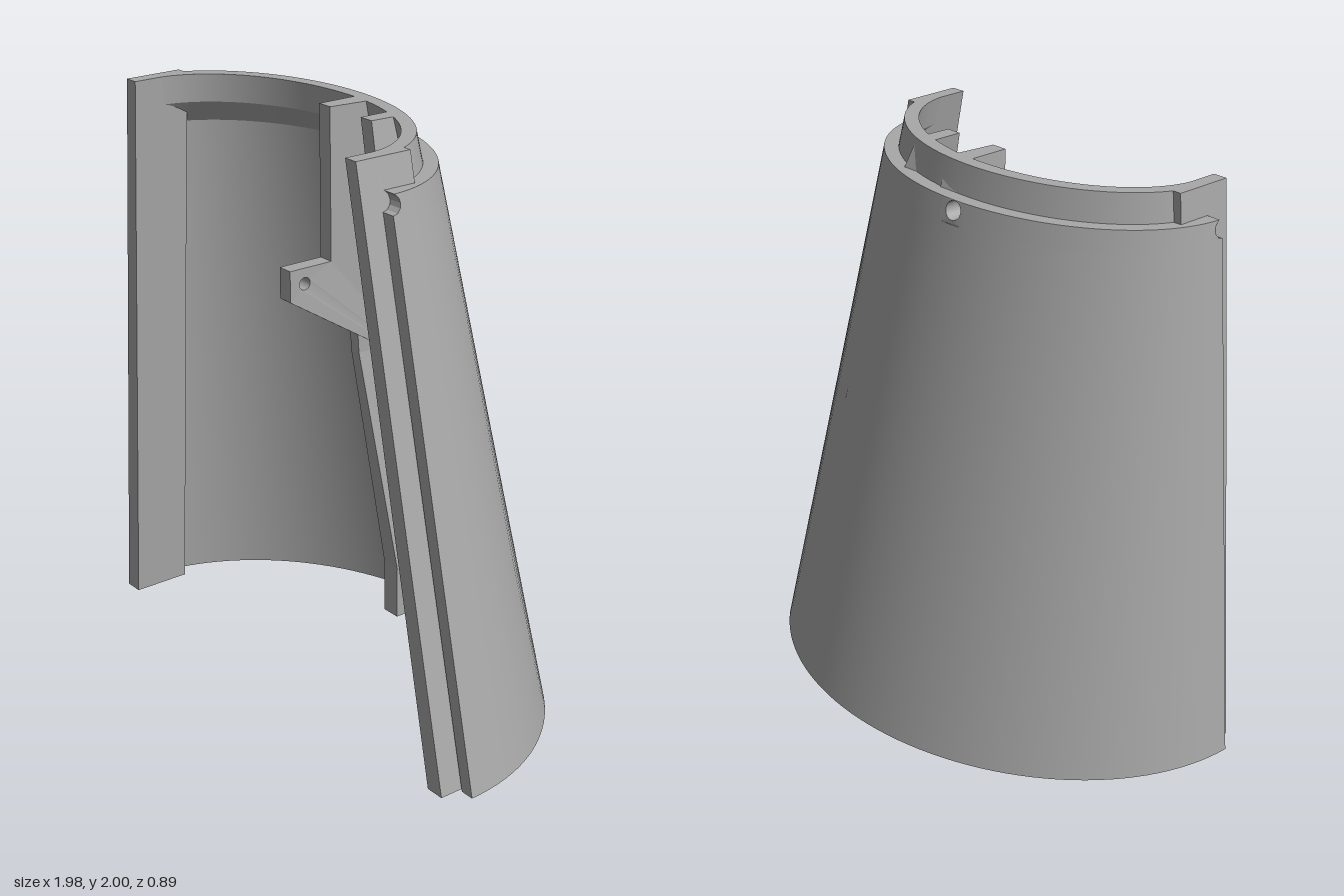
import * as THREE from 'three';

const gray = new THREE.MeshStandardMaterial({ color: 0xa8a8a8 });
gray.name = 'plain gray';

const EDGE_Z = 0.375, COLS = 64, HOLE_FROM = 30, HOLE_TO = 33;

// Leaning half-oval cone: t runs from the -x edge round the back to the +x edge
function surface(t, y, inset) {
  const k = y / 1.9;
  const a = 0.99 - 0.29 * k - inset, b = 0.82 - 0.315 * k - inset;
  return new THREE.Vector3(-0.135 * k - a * Math.cos(t), y, EDGE_Z - b * Math.sin(t));
}

// Small round notch across the front edges of the wall
function wallPoint(t, y, inset) {
  const p = surface(t, y, inset);
  const depth = Math.sqrt(Math.max(0, 0.033 ** 2 - (y - 1.87) ** 2));
  p.z = Math.min(p.z, EDGE_Z - depth);
  return p;
}

function mesh(name, geometry) {
  const m = new THREE.Mesh(geometry, gray);
  m.name = name;
  return m;
}

function fromTriangles(positions) {
  const g = new THREE.BufferGeometry();
  g.setAttribute('position', new THREE.Float32BufferAttribute(positions, 3));
  g.computeVertexNormals();
  return g;
}

// One smooth strip round the half cone between two profile points [inset, y]
function strip(point, from, to, skipHole) {
  const pos = [], index = [];
  for (let i = 0; i <= COLS; i++) {
    const t = (i / COLS) * Math.PI;
    pos.push(...point(t, from[1], from[0]).toArray(), ...point(t, to[1], to[0]).toArray());
    if (i === COLS || (skipHole && i >= HOLE_FROM && i < HOLE_TO)) continue;
    const j = i * 2;
    index.push(j, j + 1, j + 2, j + 1, j + 3, j + 2);
  }
  const g = new THREE.BufferGeometry();
  g.setAttribute('position', new THREE.Float32BufferAttribute(pos, 3));
  g.setIndex(index);
  g.computeVertexNormals();
  return g;
}

function quad(out, a, b, c, d) {
  for (const p of [a, b, c, a, c, d]) out.push(p.x, p.y, p.z);
}

// Solid through four-cornered sections, corners anticlockwise seen from above
function loft(sections) {
  const s = sections.map(r => r.map(c => new THREE.Vector3(...c)));
  const out = [], n = s.length - 1;
  for (let i = 0; i < n; i++) for (let j = 0; j < 4; j++) {
    const k = (j + 1) % 4;
    quad(out, s[i][j], s[i][k], s[i + 1][k], s[i + 1][j]);
  }
  quad(out, s[0][3], s[0][2], s[0][1], s[0][0]);
  quad(out, ...s[n]);
  return fromTriangles(out);
}

function shell() {
  const group = new THREE.Group();
  group.name = 'shell';

  // Outer wall
  const rows = [0, 1.82, 1.837, 1.842, 1.855, 1.87, 1.885, 1.898, 1.9];
  for (let i = 0; i < rows.length - 1; i++) {
    const lo = rows[i], hi = rows[i + 1];
    group.add(mesh('wallOutside', strip(wallPoint, [0, lo], [0, hi], i > 0)));
    group.add(mesh('wallInside', strip(wallPoint, [0.05, hi], [0.05, lo], i > 0)));
  }
  group.add(mesh('wallLedge', strip(wallPoint, [0, 1.9], [0.05, 1.9])));
  group.add(mesh('wallFoot', strip(wallPoint, [0.05, 0], [0, 0])));

  // Front edges of the wall
  const ends = [];
  for (let i = 0; i < rows.length - 1; i++) for (const t of [0, Math.PI]) {
    const lo = rows[i], hi = rows[i + 1];
    const [l, r] = t ? [0.05, 0] : [0, 0.05];
    quad(ends, wallPoint(t, lo, l), wallPoint(t, lo, r), wallPoint(t, hi, r), wallPoint(t, hi, l));
  }
  group.add(mesh('wallEnds', fromTriangles(ends)));

  // Inner collar with a chamfer beneath
  const collar = [[0.05, 1.9], [0.05, 2], [0.1, 2], [0.1, 1.9], [0.05, 1.82]];
  for (let i = 0; i < collar.length - 1; i++)
    group.add(mesh('collar', strip(surface, collar[i], collar[i + 1], i === 3)));

  // Curved patch holding the round hole at the back
  const t0 = (HOLE_FROM / COLS) * Math.PI, t1 = (HOLE_TO / COLS) * Math.PI;
  const shape = new THREE.Shape([[t0, 1.82], [t1, 1.82], [t1, 1.9], [t0, 1.9]].map(p => new THREE.Vector2(...p)));
  const hole = new THREE.Path();
  hole.absellipse(1.54, 1.866, 0.047, 0.032, 0, Math.PI * 2, true);
  shape.holes.push(hole);
  const patch = new THREE.ExtrudeGeometry(shape, { depth: 1, bevelEnabled: false, curveSegments: 20 });
  const pos = patch.attributes.position;
  for (let i = 0; i < pos.count; i++) {
    const y = pos.getY(i), inner = 0.05 + 0.05 * (y - 1.82) / 0.08;
    const p = surface(pos.getX(i), y, pos.getZ(i) * inner);
    pos.setXYZ(i, p.x, p.y, p.z);
  }
  patch.computeVertexNormals();
  group.add(mesh('holePatch', patch));
  return group;
}

// Joint lips standing forward of the wall edges
function lip(t) {
  const section = (y, near, far) => {
    const xs = [surface(t, y, near).x, surface(t, y, far).x].sort((p, q) => p - q);
    return [[xs[0], y, 0.45], [xs[1], y, 0.45], [xs[1], y, 0.24], [xs[0], y, 0.24]];
  };
  // corners run front-left, front-right, back-right, back-left
  return loft([section(0, 0.062, 0.13), section(2, 0.05, 0.102)]);
}

// Rib sections: y, front left, front right, front z, back left, back right, back z
function rib(rows) {
  return loft(rows.map(([y, fl, fr, fz, bl, br, bz]) =>
    [[fl, y, fz], [fr, y, fz], [br, y, bz], [bl, y, bz]]));
}

// Upright plate from a z-y outline, leaning sideways and thicker at the wall
function bracket(outline, x, width, lean, flare, hole) {
  const shape = new THREE.Shape(outline.map(p => new THREE.Vector2(...p)));
  if (hole) shape.holes.push(new THREE.Path().absarc(hole[0], hole[1], hole[2], 0, Math.PI * 2, true));
  const g = new THREE.ExtrudeGeometry(shape, { depth: width, bevelEnabled: false, curveSegments: 16 });
  g.rotateY(-Math.PI / 2);
  const pos = g.attributes.position;
  for (let i = 0; i < pos.count; i++) {
    const back = THREE.MathUtils.clamp((0.13 - pos.getZ(i)) / 0.36, 0, 1);
    const wide = pos.getX(i) > -width / 2 ? flare * back : 0;
    pos.setX(i, pos.getX(i) + x + wide + lean * (2 - pos.getY(i)));
  }
  g.computeVertexNormals();
  return g;
}

export function createModel() {
  const model = new THREE.Group();
  model.name = 'halfShellCover';
  model.add(shell());
  model.add(mesh('rightLip', lip(0)), mesh('leftLip', lip(Math.PI)));

  // Lower stiffening ribs
  model.add(mesh('rightRib', rib([
    [0, -0.165, -0.09, -0.19, -0.21, -0.09, -0.42],
    [0.2, -0.165, -0.09, -0.19, -0.205, -0.09, -0.385],
    [1.04, -0.245, -0.2, -0.1, -0.245, -0.195, -0.245],
    [1.9, -0.222, -0.19, -0.04, -0.222, -0.19, -0.1],
  ])));
  model.add(mesh('leftRib', rib([
    [0, 0.285, 0.34, -0.2, 0.29, 0.42, -0.345],
    [0.22, 0.27, 0.32, -0.19, 0.285, 0.4, -0.31],
    [1.04, 0.27, 0.318, -0.08, 0.275, 0.33, -0.175],
    [1.4, 0.21, 0.262, -0.02, 0.21, 0.27, -0.13],
  ])));

  // Upper brackets with forward tabs
  model.add(mesh('rightBracket', bracket(
    [[-0.04, 2], [-0.1, 1.85], [-0.25, 1.01], [0.3, 1.36], [0.3, 1.47], [0.13, 1.47], [0.13, 2]],
    -0.055, 0.058, 0, 0.04, [0.24, 1.415, 0.022])));
  model.add(mesh('leftBracket', bracket(
    [[0, 2], [-0.06, 1.85], [-0.18, 1.04], [-0.08, 1.04], [0.19, 1.4], [0.19, 1.47], [0.13, 1.47], [0.13, 2]],
    0.163, 0.056, 0.185, 0.02)));
  return model;
}
